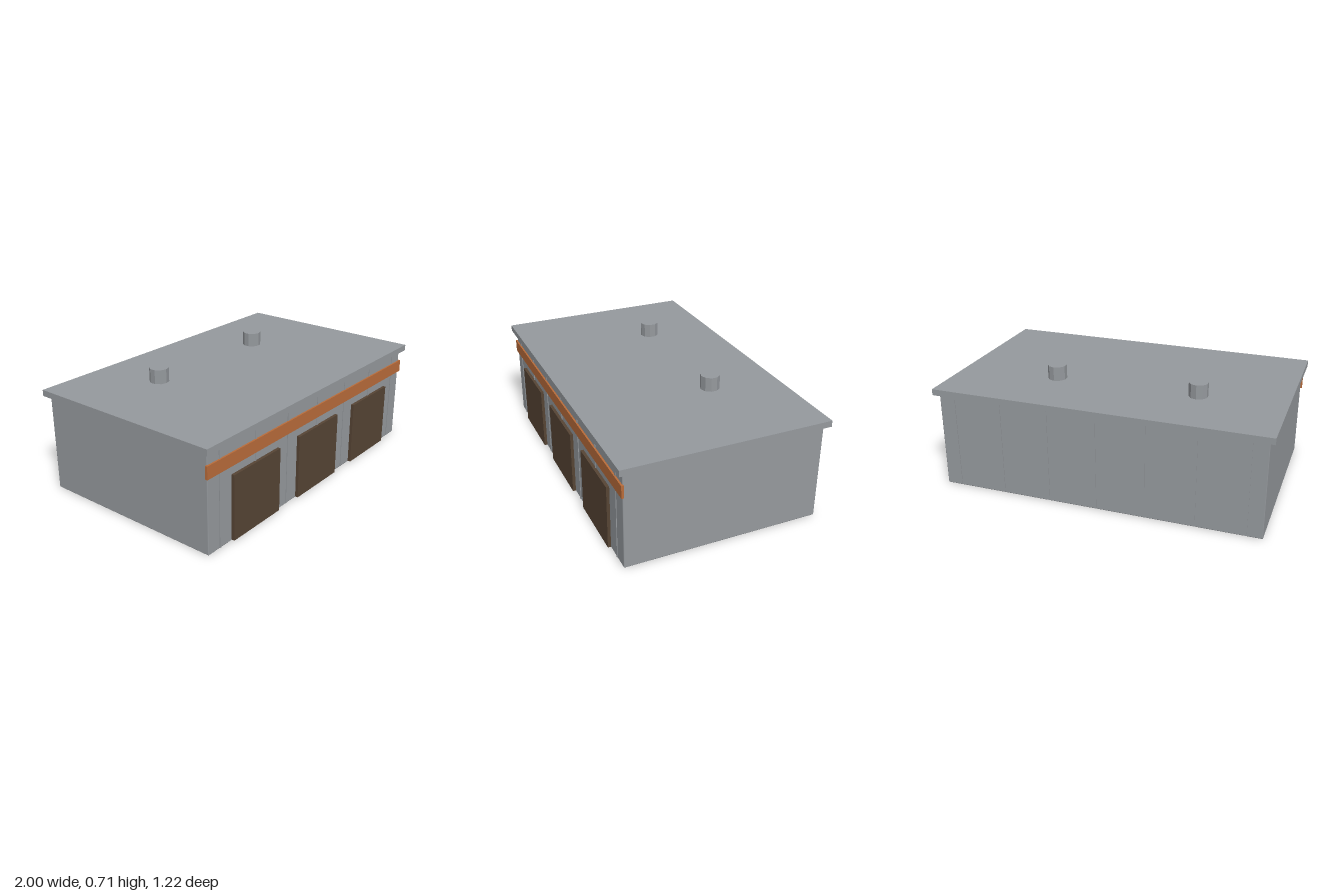
import * as THREE from 'three';
import { RoundedBoxGeometry } from 'three/addons/geometries/RoundedBoxGeometry.js';

export function createModel() {
  const model = new THREE.Group();
  model.name = 'garageBuilding';

  const material = (name, color) => {
    const m = new THREE.MeshStandardMaterial({ color });
    m.name = name;
    return m;
  };
  const metal = material('greyMetal', 0x95999d);
  const orange = material('orangeTrim', 0xb96c3a);
  const brown = material('brownDoor', 0x564434);

  const add = (name, geometry, mat, x, y, z) => {
    const mesh = new THREE.Mesh(geometry, mat);
    mesh.name = name;
    mesh.position.set(x, y, z);
    model.add(mesh);
    return mesh;
  };

  // Main hall with slightly eased edges, and the overhanging roof slab
  add('walls', new RoundedBoxGeometry(1.94, 0.585, 1.164, 1, 0.005), metal, 0, 0.2925, 0);
  add('roof', new THREE.BoxGeometry(2, 0.037, 1.22), metal, 0, 0.603, 0);

  // Thin vertical seams along the front and back walls
  const seam = new THREE.BoxGeometry(0.01, 0.575, 0.008);
  for (let i = -3; i <= 3; i++) {
    for (const side of [1, -1]) add('wallSeam', seam, metal, i * 0.292, 0.292, side * 0.582);
  }

  // Coloured band across the front
  add('frontBand', new THREE.BoxGeometry(1.96, 0.075, 0.014), orange, 0, 0.479, 0.585);

  // Three roller doors
  const door = new THREE.BoxGeometry(0.4, 0.386, 0.018);
  for (const x of [-0.583, 0, 0.583]) add('door', door, brown, x, 0.197, 0.591);

  // Roof vents
  const vent = new THREE.CylinderGeometry(0.057, 0.057, 0.085, 10).toNonIndexed();
  vent.computeVertexNormals();
  for (const x of [-0.487, 0.386]) add('roofVent', vent, metal, x, 0.6635, -0.195);

  return model;
}
